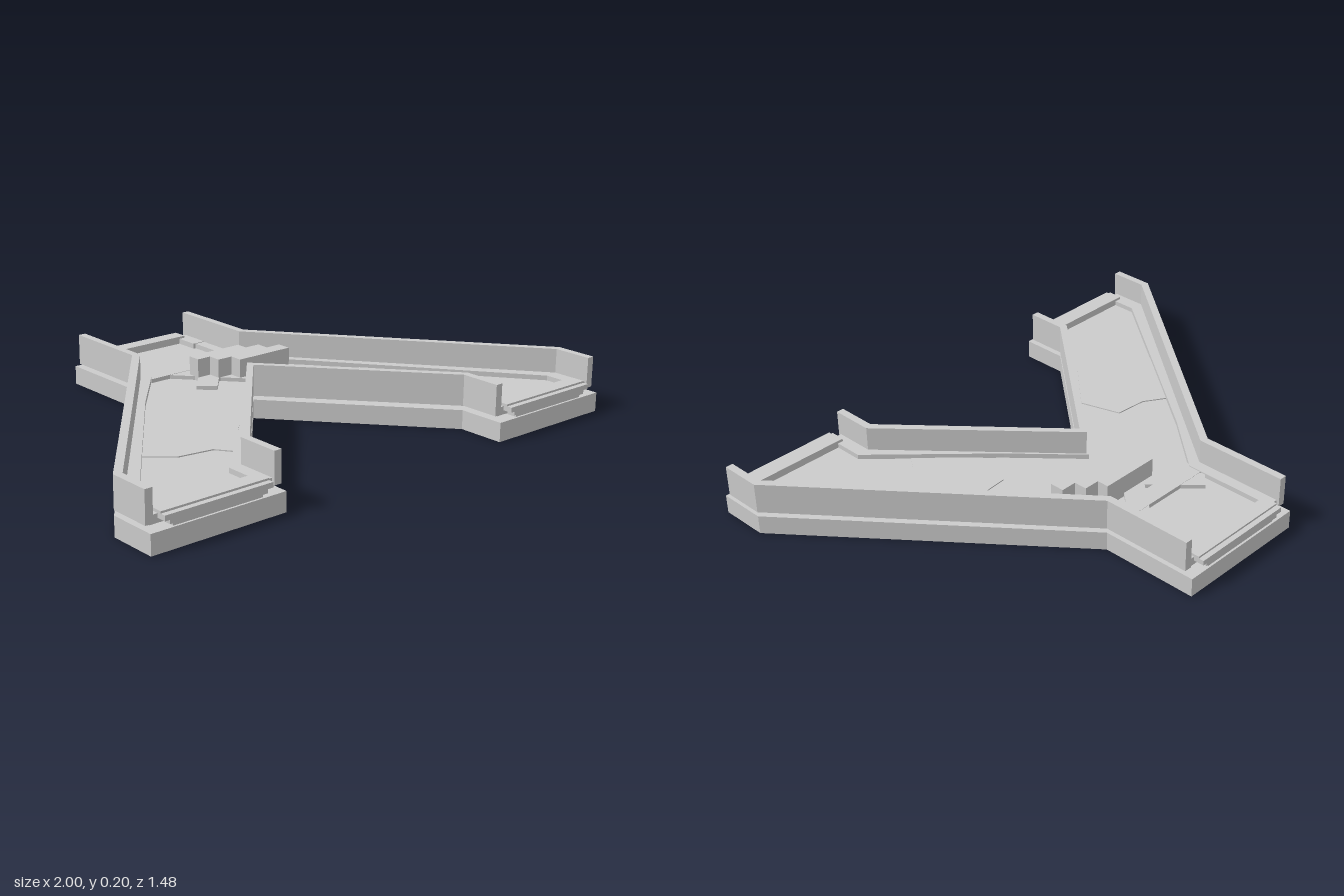
import * as THREE from 'three';

const material = new THREE.MeshStandardMaterial({ color: 0xcccccc, flatShading: true });

// Prism from a floor plan given as [x, z] points, between heights y0 and y1
function prism(name, plan, y0, y1, hole) {
  const toPoints = (list) => list.map(([x, z]) => new THREE.Vector2(x, -z));
  const shape = new THREE.Shape(toPoints(plan));
  if (hole) shape.holes.push(new THREE.Path(toPoints(hole)));
  const geometry = new THREE.ExtrudeGeometry(shape, { depth: y1 - y0, bevelEnabled: false });
  geometry.rotateX(-Math.PI / 2).translate(0, y0, 0);
  const mesh = new THREE.Mesh(geometry, material);
  mesh.name = name;
  return mesh;
}

function box(name, x0, x1, y0, y1, z0, z1) {
  const mesh = new THREE.Mesh(new THREE.BoxGeometry(x1 - x0, y1 - y0, z1 - z0), material);
  mesh.position.set((x0 + x1) / 2, (y0 + y1) / 2, (z0 + z1) / 2);
  mesh.name = name;
  return mesh;
}

const mirrorX = (points) => points.map(([x, z]) => [-x, z]).reverse();
// Full symmetric outline from its +x half
const bothSides = (half) => [...half, ...mirrorX(half.filter(([x]) => x !== 0))];

// Stepped sill across the end of a corridor; facing is +1 or -1 along z
function sill(name, x, z, facing) {
  const group = new THREE.Group();
  group.name = name;
  group.add(
    box('sillFoot', -0.17, 0.17, 0.07, 0.085, -0.035, 0.03),
    box('sillUnderside', -0.185, 0.185, 0.08, 0.1, -0.037, 0.035),
    box('sillTread', -0.205, 0.205, 0.095, 0.113, -0.038, 0.038),
    box('sillTop', -0.205, 0.205, 0.113, 0.12, -0.038, 0.018)
  );
  group.position.set(x, 0, z);
  if (facing < 0) group.rotation.y = Math.PI;
  return group;
}

export function createModel() {
  const model = new THREE.Group();
  model.name = 'forkedCorridor';

  // Base slab
  model.add(prism('baseSlab', bothSides([
    [0, 0], [0.485, 0.56], [0.485, 0.735], [1, 0.735], [1, 0.555], [0.26, -0.37], [0.26, -0.74],
  ]), 0, 0.07));

  // Floor held above the slab, edged by a low kerb along the walls
  const floorPlan = bothSides([
    [0, -0.045], [0.2, 0.18], [0.56, 0.55], [0.56, 0.67], [0.92, 0.67], [0.92, 0.57],
    [0.38, -0.13], [0.19, -0.35], [0.19, -0.67],
  ]);
  const kerbPlan = bothSides([
    [0, -0.02], [0.505, 0.555], [0.505, 0.7], [0.98, 0.7], [0.98, 0.56], [0.24, -0.365], [0.24, -0.7],
  ]);
  model.add(prism('floor', floorPlan, 0.08, 0.092));
  model.add(prism('kerb', kerbPlan, 0.08, 0.11, floorPlan));

  // Slightly raised floor plate with chevron ends in each branch
  const plate = [
    [0.255, 0.23], [0.3, 0.08], [0.42, 0.07], [0.5, 0.02],
    [0.685, 0.265], [0.6, 0.34], [0.47, 0.36], [0.43, 0.415],
  ];
  model.add(prism('leftFloorPlate', plate, 0.085, 0.096));
  model.add(prism('rightFloorPlate', mirrorX(plate), 0.085, 0.096));

  // Outer walls, raised slightly above the slab
  const outerWall = [
    [0.26, -0.71], [0.26, -0.37], [1, 0.555], [1, 0.71],
    [0.972, 0.71], [0.972, 0.565], [0.232, -0.36], [0.232, -0.71],
  ];
  model.add(prism('leftOuterWall', outerWall, 0.087, 0.2));
  model.add(prism('rightOuterWall', mirrorX(outerWall), 0.087, 0.2));

  // V-shaped wall between the two branches
  model.add(prism('innerWall', [
    [-0.485, 0.71], [-0.485, 0.56], [0, 0], [0.485, 0.56], [0.485, 0.71],
    [0.513, 0.71], [0.513, 0.55], [0, -0.035], [-0.513, 0.55], [-0.513, 0.71],
  ], 0.087, 0.2));

  // Sills at the three openings
  model.add(sill('leftSill', 0.743, 0.697, 1));
  model.add(sill('rightSill', -0.743, 0.697, 1));
  model.add(sill('backSill', 0, -0.702, -1));
  model.add(box('wallSupport', 0.18, 0.232, 0.07, 0.112, -0.69, -0.575));

  // Flat strips crossing at the junction
  model.add(box('crossStrip', -0.205, 0.205, 0.075, 0.107, -0.4, -0.33));
  for (const side of [1, -1]) {
    const strip = box('diagonalStrip', -0.2, 0.2, 0.073, 0.106, -0.038, 0.038);
    strip.position.x = side * 0.035;
    strip.position.z = -0.29;
    strip.rotation.y = side * 0.84;
    model.add(strip);
  }

  // Stepped block standing at the junction
  model.add(prism('steppedBlock', [
    [-0.06, -0.29], [0.17, -0.29], [0.17, -0.245], [0.23, -0.245], [0.23, -0.195], [0.29, -0.195],
    [0.29, -0.14], [0.055, -0.14], [0.055, -0.19], [-0.005, -0.19], [-0.005, -0.24], [-0.06, -0.24],
  ], 0.075, 0.175));

  return model;
}
